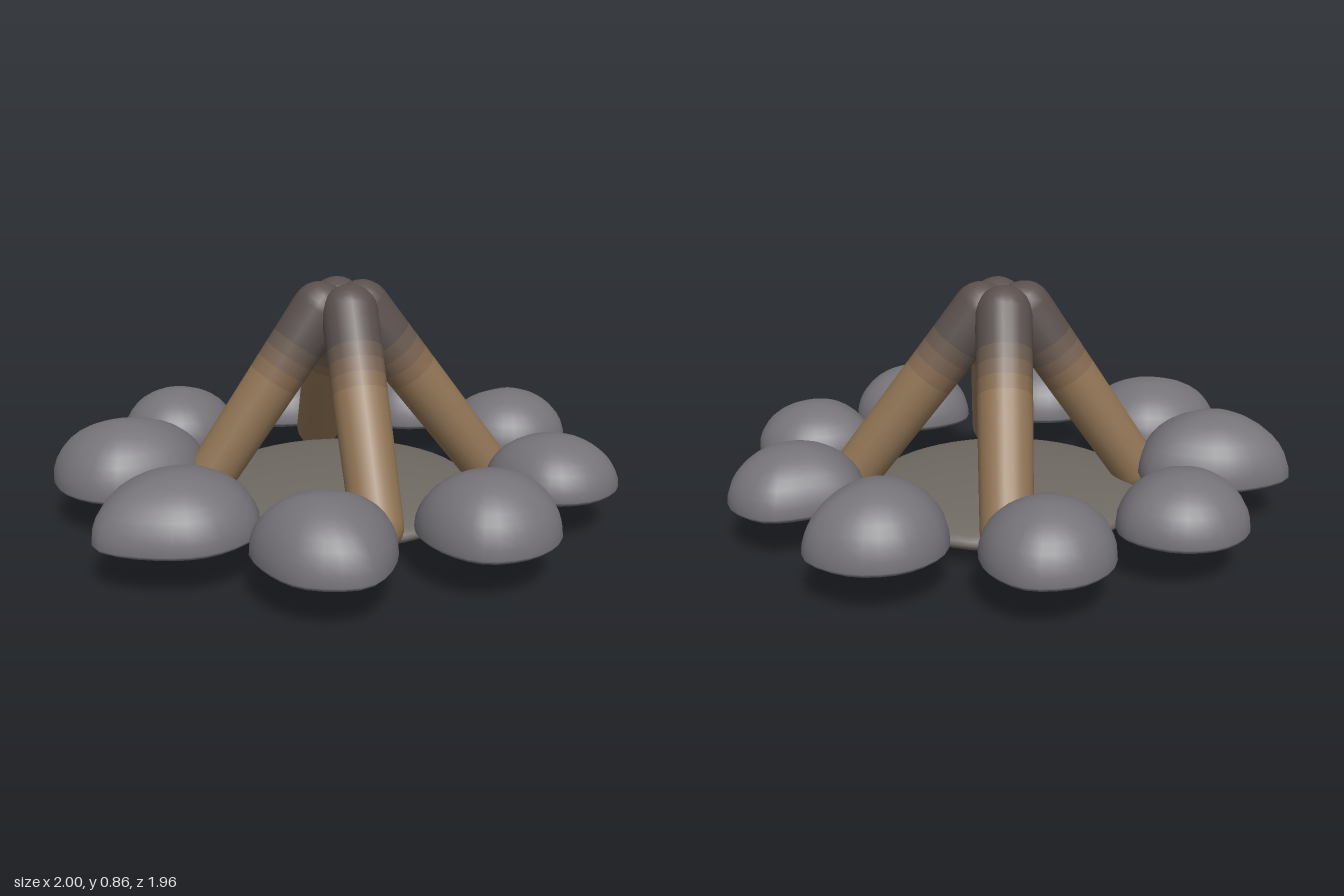
import * as THREE from 'three';
import { mergeVertices } from 'three/addons/utils/BufferGeometryUtils.js';

const mat = (color) => new THREE.MeshStandardMaterial({ color });
const stoneMat = mat(0x757378);
const ashMat = mat(0x6f6963);
// wood, darkening towards the charred tip
const woodMats = [0x8f7354, 0x84694f, 0x766150, 0x68594e, 0x5a504d].map(mat);
const bandEnds = [0.6, 0.67, 0.74, 0.81, 1];

// Stones: centre x, centre z, top height, radii every 45 degrees from +x towards +z
const stones = [
  [0.13, -0.75, 0.37, [0.22, 0.24, 0.235, 0.22, 0.22, 0.22, 0.23, 0.25]],
  [0.57, -0.5, 0.35, [0.23, 0.22, 0.22, 0.23, 0.24, 0.2, 0.235, 0.24]],
  [0.76, -0.01, 0.335, [0.235, 0.22, 0.215, 0.2, 0.23, 0.21, 0.22, 0.23]],
  [0.58, 0.48, 0.365, [0.23, 0.22, 0.23, 0.22, 0.24, 0.22, 0.23, 0.245]],
  [0.1, 0.76, 0.36, [0.23, 0.25, 0.22, 0.2, 0.23, 0.22, 0.22, 0.25]],
  [-0.39, 0.65, 0.36, [0.26, 0.24, 0.235, 0.29, 0.26, 0.24, 0.25, 0.26]],
  [-0.72, 0.26, 0.38, [0.26, 0.22, 0.24, 0.25, 0.28, 0.23, 0.23, 0.29]],
  [-0.73, -0.27, 0.345, [0.22, 0.22, 0.22, 0.21, 0.21, 0.21, 0.22, 0.24]],
  [-0.39, -0.66, 0.35, [0.22, 0.22, 0.22, 0.22, 0.21, 0.21, 0.22, 0.21]],
];

// A domed pebble: a sphere stretched to an irregular outline, with a flattened underside
function makeStone([cx, cz, top, radii]) {
  const rim = 0.165, base = 0.12;
  const outline = new THREE.CatmullRomCurve3(radii.map((r, i) => {
    const a = (i * Math.PI) / 4;
    return new THREE.Vector3(Math.cos(a) * r, 0, Math.sin(a) * r);
  }), true, 'catmullrom');
  let geo = new THREE.SphereGeometry(1, 28, 18);
  geo.deleteAttribute('uv');
  geo.deleteAttribute('normal');
  geo = mergeVertices(geo, 1e-4);
  const pos = geo.attributes.position;
  const p = new THREE.Vector3();
  for (let i = 0; i < pos.count; i++) {
    const x = pos.getX(i), y = pos.getY(i), z = pos.getZ(i);
    const turn = (Math.atan2(z, x) / (2 * Math.PI) + 1) % 1;
    outline.getPoint(turn, p).multiplyScalar(Math.hypot(x, z));
    pos.setXYZ(i, p.x, rim + y * (y > 0 ? top - rim : rim - base), p.z);
  }
  geo.computeVertexNormals();
  const mesh = new THREE.Mesh(geo, stoneMat);
  mesh.position.set(cx, 0, cz);
  return mesh;
}

// A round-ended log between two points, lathed in colour bands
function makeLog(from, to) {
  const log = new THREE.Group();
  const a = new THREE.Vector3(...from), b = new THREE.Vector3(...to);
  const length = a.distanceTo(b), r0 = 0.088, r1 = 0.1, capSteps = 6;
  const at = (t) => new THREE.Vector2(r0 + (r1 - r0) * t, length * t);
  bandEnds.forEach((end, k) => {
    const start = k ? bandEnds[k - 1] : 0;
    const pts = [];
    if (k === 0) {
      for (let i = 0; i < capSteps; i++) {
        const q = (i / capSteps) * Math.PI / 2;
        pts.push(new THREE.Vector2(r0 * Math.sin(q), -r0 * Math.cos(q)));
      }
    }
    pts.push(at(start), at(end));
    if (k === bandEnds.length - 1) {
      for (let i = 1; i <= capSteps; i++) {
        const q = (i / capSteps) * Math.PI / 2;
        pts.push(new THREE.Vector2(Math.max(0, r1 * Math.cos(q)), length + r1 * Math.sin(q)));
      }
    }
    const band = new THREE.Mesh(new THREE.LatheGeometry(pts, 20), woodMats[k]);
    band.name = k === 0 ? 'logWood' : 'logChar' + k;
    log.add(band);
  });
  log.position.copy(a);
  log.quaternion.setFromUnitVectors(new THREE.Vector3(0, 1, 0), b.sub(a).normalize());
  return log;
}

export function createModel() {
  const model = new THREE.Group();
  model.name = 'campfire';

  // Lens-shaped ash bed
  const ash = new THREE.Mesh(new THREE.SphereGeometry(1, 48, 20), ashMat);
  ash.name = 'ashBed';
  ash.scale.set(0.513, 0.08, 0.513);
  ash.position.set(-0.005, 0.08, -0.005);
  model.add(ash);

  // Four leaning logs
  const logs = [
    [[-0.2, 0.15, -0.505], [-0.03, 0.76, -0.075]],
    [[0.5, 0.15, -0.215], [0.07, 0.76, -0.035]],
    [[0.22, 0.15, 0.48], [0.045, 0.76, 0.065]],
    [[-0.45, 0.15, 0.2], [-0.07, 0.76, 0.03]],
  ];
  logs.forEach(([from, to], i) => {
    const log = makeLog(from, to);
    log.name = 'log' + (i + 1);
    model.add(log);
  });

  // Ring of stones
  stones.forEach((s, i) => {
    const stone = makeStone(s);
    stone.name = 'stone' + (i + 1);
    model.add(stone);
  });
  return model;
}
